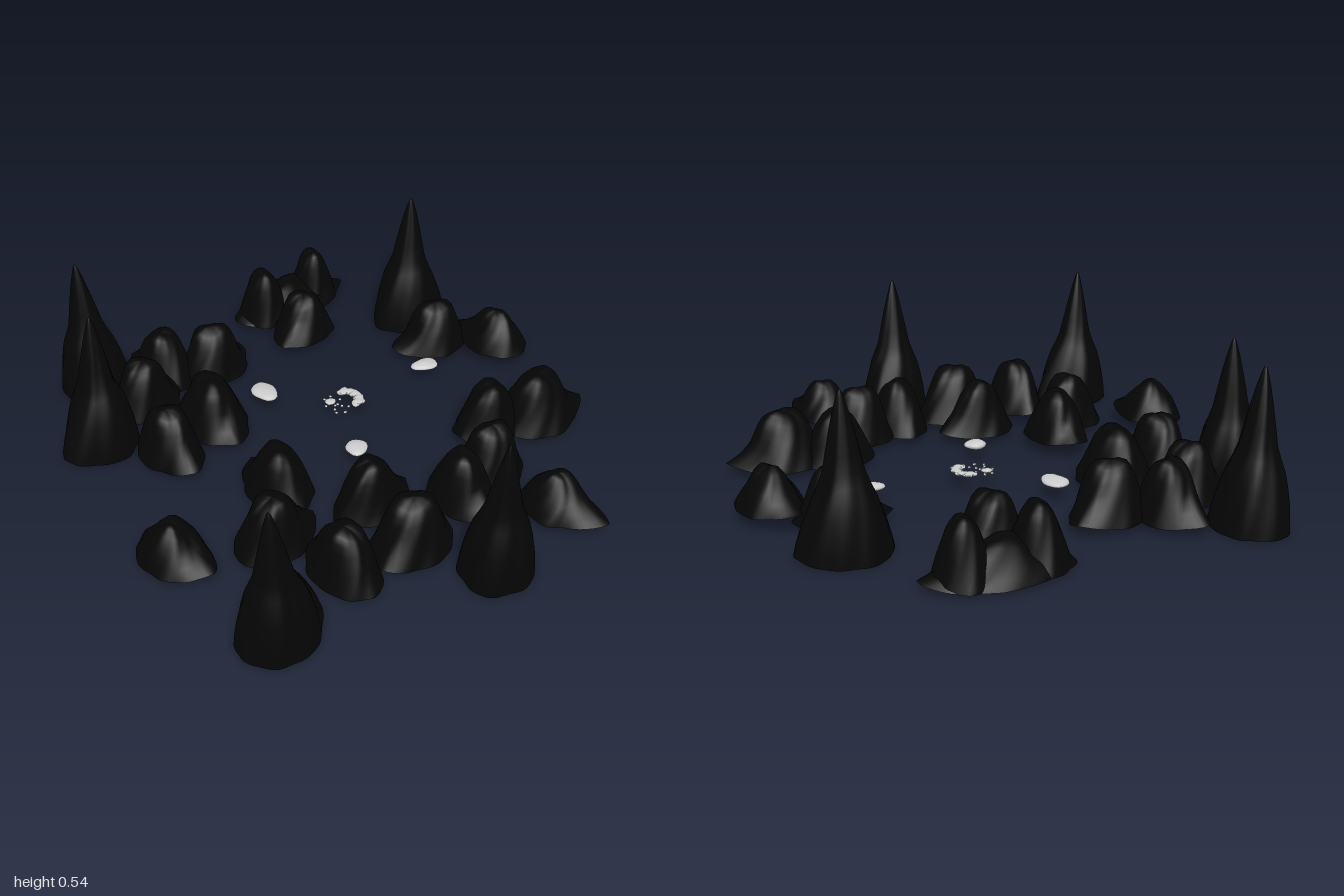
import * as THREE from 'three';

const dark = new THREE.MeshStandardMaterial({ color: 0x050505, side: THREE.DoubleSide });
const grey = new THREE.MeshStandardMaterial({ color: 0xcccccc });
const SEG = 48;

// Profiles as [radius fraction, height fraction] from base to apex
const TREE = [[1, 0], [0.97, 0.08], [0.91, 0.18], [0.82, 0.28], [0.72, 0.37], [0.6, 0.44],
  [0.48, 0.52], [0.39, 0.63], [0.29, 0.75], [0.18, 0.87], [0.08, 0.96], [0.035, 0.99], [0, 1]];
const MOUND = [[1, 0], [0.96, 0.07], [0.87, 0.22], [0.78, 0.4], [0.7, 0.55],
  [0.61, 0.7], [0.52, 0.83], [0.4, 0.93], [0.21, 0.99], [0, 1]];
const DOME = [[1, 0], [0.95, 0.1], [0.85, 0.28], [0.73, 0.48], [0.58, 0.65], [0.44, 0.82],
  [0.27, 0.96], [0.12, 0.99], [0, 1]];

// Lumpy teardrop outline lofted along a profile, an open shell underneath.
// tip = direction in degrees of the pointed side, tipLen = how far it sticks out
function lump(name, profile, o) {
  const { x, z, rx, rz, tip, tipLen, base, height, lean = [0, 0], seed } = o;
  const pos = [], index = [];
  const t0 = THREE.MathUtils.degToRad(tip);
  profile.forEach(([r, h], i) => {
    for (let j = 0; j < SEG; j++) {
      const turn = (j / SEG) * Math.PI * 2, a = t0 + turn;
      const d = Math.min(turn, Math.PI * 2 - turn);
      const point = Math.pow(Math.max(0, 1 - d / 0.9), 1.25);
      const back = Math.max(0, (d - 2.5) / 0.64) * 0.08;
      const skirt = Math.max(0, 1 - h * 2.2);
      const bumps = 0.025 * Math.sin(5 * a + seed * 2.1 + h * 3) + 0.015 * Math.sin(9 * a + seed + h * 7);
      const k = r * (1 + (point * tipLen + back) * skirt + bumps);
      // gentle unevenness over the upper part
      const wave = 0.024 * Math.sin(2 * a + seed * 1.7 + h * 4) * r * h;
      pos.push(
        x + Math.cos(a) * rx * k + lean[0] * h,
        base + height * h + 0.02 * point * skirt * r + wave,
        z + Math.sin(a) * rz * k + lean[1] * h);
      if (i === profile.length - 1) continue;
      const n = (j + 1) % SEG, p = i * SEG, q = p + SEG;
      index.push(p + j, q + j, p + n, p + n, q + j, q + n);
    }
  });
  const g = new THREE.BufferGeometry();
  g.setAttribute('position', new THREE.Float32BufferAttribute(pos, 3));
  g.setIndex(index);
  g.computeVertexNormals();
  const mesh = new THREE.Mesh(g, dark);
  mesh.name = name;
  return mesh;
}

// Flattened stone with a slightly uneven surface
function stone(name, x, y, z, rx, ry, rz, turn, detail) {
  const g = new THREE.SphereGeometry(1, detail, Math.ceil(detail * 0.65));
  const p = g.attributes.position;
  for (let i = 0; i < p.count; i++) {
    const k = 1 + 0.12 * Math.sin(p.getX(i) * 3 + x * 20) * Math.cos(p.getZ(i) * 2.5 + z * 9);
    p.setXYZ(i, p.getX(i) * k, p.getY(i) * k, p.getZ(i) * k);
  }
  g.scale(rx, ry, rz);
  g.computeVertexNormals();
  const mesh = new THREE.Mesh(g, grey);
  mesh.position.set(x, y, z);
  mesh.rotation.y = turn;
  mesh.name = name;
  return mesh;
}

export function createModel() {
  const model = new THREE.Group();
  model.name = 'clearing';

  // Tall pointed trees: x, z, rx, rz, tip direction, lean of the apex
  const trees = new THREE.Group();
  trees.name = 'trees';
  [
    [-0.44, -0.73, 0.128, 0.138, 275, [-0.015, -0.02]],
    [0.85, 0.03, 0.125, 0.132, 235, [0.02, 0.01]],
    [0.63, 0.765, 0.128, 0.135, 265, [0.01, 0.025]],
    [-0.86, 0.51, 0.135, 0.13, 0, [-0.01, 0.02]],
    [-0.525, 0.685, 0.128, 0.13, 85, [-0.015, -0.015]],
  ].forEach(([x, z, rx, rz, tip, lean], i) => trees.add(lump('tree', TREE,
    { x, z, rx, rz, tip, tipLen: 0.32, base: 0.012, height: 0.543, lean, seed: i })));
  model.add(trees);

  // Bushes with a skirt drawn out to one side: x, z, rx, rz, tip direction, tip length, base, top
  const bushes = new THREE.Group();
  bushes.name = 'bushes';
  [
    [-0.21, -0.67, 0.115, 0.14, 110, 0.36, 0.035, 0.22],
    [0.39, -0.63, 0.135, 0.15, 280, 0.38, 0.035, 0.235],
    [0.32, -0.45, 0.115, 0.13, 90, 0.1, 0.035, 0.23],
    [-0.61, -0.32, 0.115, 0.125, 60, 0.5, 0.035, 0.205],
    [0.5, -0.28, 0.115, 0.13, 90, 0.1, 0.035, 0.24],
    [0.54, -0.1, 0.13, 0.11, 0, 0.45, 0.035, 0.235],
    [0.37, 0.17, 0.105, 0.135, 265, 0.35, 0.035, 0.235],
    [0.6, 0.18, 0.125, 0.155, 65, 0.18, 0.03, 0.24],
    [0.56, 0.44, 0.145, 0.11, 180, 0.15, 0.035, 0.235],
    [0.12, 0.37, 0.14, 0.112, 185, 0.25, 0.055, 0.235],
    [0.3, 0.53, 0.115, 0.14, 265, 0.27, 0.035, 0.23],
    [-0.62, 0.12, 0.115, 0.14, 240, 0.3, 0.035, 0.235],
    [-0.71, 0.29, 0.13, 0.112, 165, 0.35, 0.035, 0.235],
    [-0.35, 0.32, 0.16, 0.125, 10, 0.22, 0.04, 0.235],
    [-0.6, 0.45, 0.115, 0.135, 270, 0.08, 0.035, 0.235],
    [-0.3, 0.54, 0.14, 0.11, 0, 0.28, 0.04, 0.235],
  ].forEach(([x, z, rx, rz, tip, tipLen, base, top], i) => bushes.add(lump('bush', MOUND,
    { x, z, rx, rz, tip, tipLen, base, height: top - base, seed: i })));

  // Lower, rounder bushes at the outer edge
  [
    [-0.04, -0.84, 0.135, 0.115, 165, 0.35],
    [0.79, -0.31, 0.125, 0.115, 345, 0.62],
    [0.16, 0.835, 0.135, 0.115, 345, 0.35],
  ].forEach(([x, z, rx, rz, tip, tipLen], i) => bushes.add(lump('lowBush', DOME,
    { x, z, rx, rz, tip, tipLen, base: 0.055, height: 0.142, seed: i + 3 })));

  // Long bush with two peaks
  const long = { x: -0.81, tip: 280, base: 0.025, seed: 2 };
  bushes.add(
    lump('longBushBody', DOME, { ...long, z: -0.39, rx: 0.132, rz: 0.23, tipLen: 0.2, height: 0.115 }),
    lump('longBushPeak', MOUND, { ...long, z: -0.525, rx: 0.105, rz: 0.095, tipLen: 0, height: 0.205 }),
    lump('longBushPeak', MOUND, { ...long, z: -0.27, rx: 0.115, rz: 0.1, tipLen: 0, height: 0.205 }));
  model.add(bushes);

  // Three flat stones
  const stones = new THREE.Group();
  stones.name = 'stones';
  stones.add(
    stone('stone', -0.077, 0.07, -0.5, 0.036, 0.014, 0.056, -0.3, 18),
    stone('stone', -0.335, 0.07, 0.085, 0.06, 0.016, 0.045, -0.2, 18),
    stone('stone', 0.14, 0.07, 0.03, 0.042, 0.016, 0.044, 0.4, 18));
  model.add(stones);

  // Flat broken arc of rubble in the middle with scattered pebbles in front
  const rubble = new THREE.Group();
  rubble.name = 'rubble';
  for (let i = 0; i < 11; i++) {
    const a = Math.PI * (0.95 + i * 0.11);
    rubble.add(stone('rubblePiece', -0.1 + Math.cos(a) * 0.042, 0.072 + 0.003 * (i % 2),
      -0.14 + Math.sin(a) * 0.028, 0.019, 0.007, 0.021 + 0.003 * (i % 3), i, 10));
  }
  rubble.add(stone('rubblePiece', -0.128, 0.07, -0.068, 0.02, 0.007, 0.022, 0.3, 10));
  for (let i = 0; i < 14; i++) {
    rubble.add(stone('pebble', -0.155 + (i % 7) * 0.018, 0.067,
      -0.09 + Math.floor(i / 7) * 0.035 + 0.016 * Math.sin(i * 2.3), 0.006, 0.005, 0.006, 0, 8));
  }
  model.add(rubble);
  return model;
}
